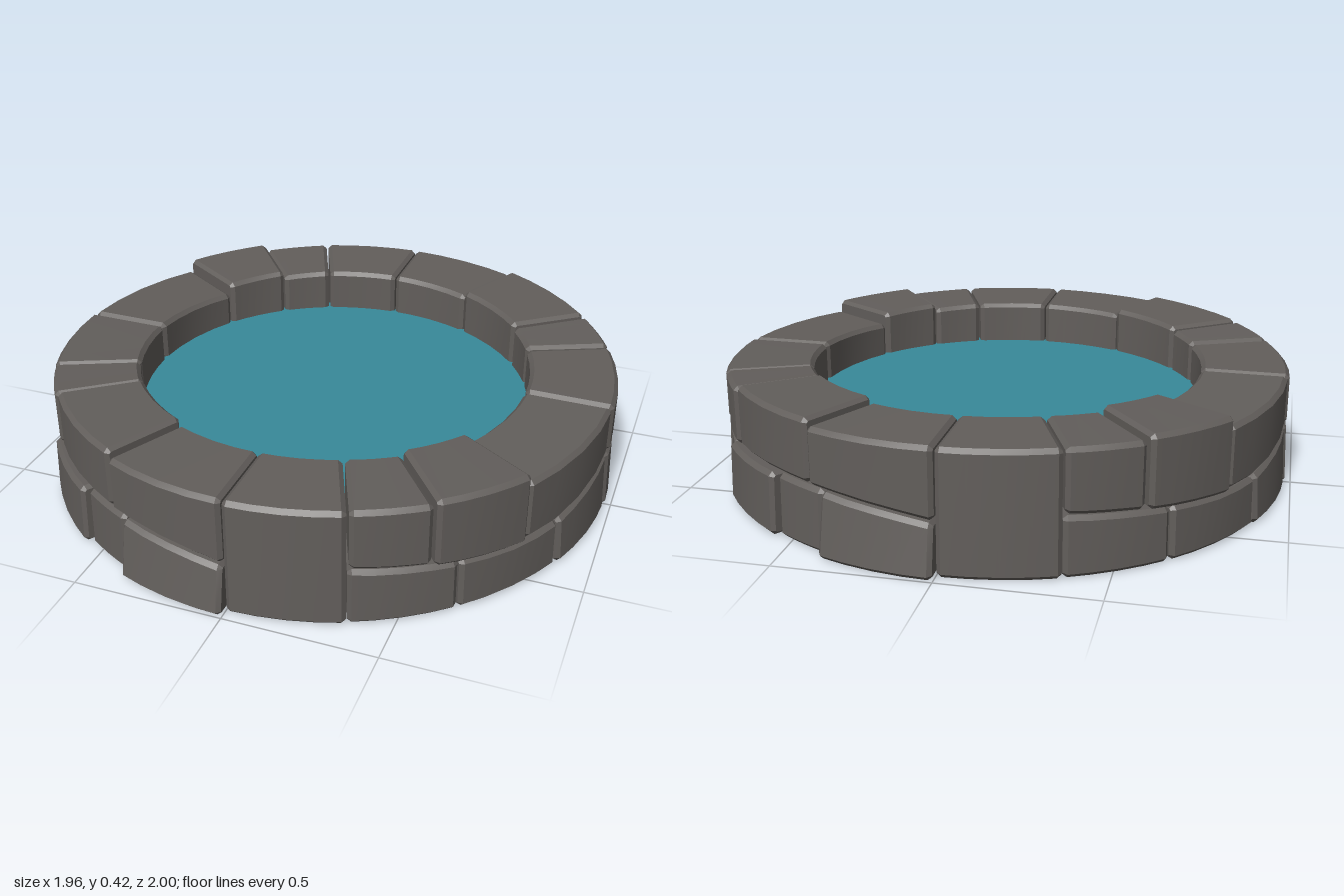
import * as THREE from 'three';
import { toCreasedNormals } from 'three/addons/utils/BufferGeometryUtils.js';

const BEVEL = 0.014;
const GAP = 0.003;
const R_IN = 0.675;

// Height of the wavy joint between the courses: [angle in degrees, y]
const JOINT = [
  [1, 0.215], [12, 0.195], [24, 0.17], [34, 0.168], [47, 0.18], [68, 0.2], [90, 0.175],
  [100, 0.195], [112, 0.212], [125, 0.215], [147, 0.205], [158, 0.225], [165, 0.235], [181, 0.215],
];

function jointHeight(deg) {
  for (let i = 1; i < JOINT.length; i++) {
    const [a0, y0] = JOINT[i - 1];
    const [a1, y1] = JOINT[i];
    if (deg <= a1) return y0 + (y1 - y0) * Math.max(0, (deg - a0) / (a1 - a0));
  }
  return JOINT[JOINT.length - 1][1];
}

// Chamfered rectangle in (radius, height)
function profile(r0, r1Bottom, r1Top, y0, y1, inset, c) {
  const a = r0 + inset, b = r1Bottom - inset, t = r1Top - inset, lo = y0 + inset, hi = y1 - inset;
  return [
    [a + c, lo], [b - c, lo], [b, lo + c], [t, hi - c],
    [t - c, hi], [a + c, hi], [a, hi - c], [a, lo + c],
  ];
}

// Curved, bevelled block swept between two angles
function stoneGeometry({ from, to, rTop, rBottom, bottom, top }) {
  const segments = 4;
  const rings = [];
  const addRing = (deg, offset, inset, chamfer) => {
    const t = (deg - from) / (to - from);
    const points = profile(R_IN, rBottom, rTop, bottom(deg), top(t), inset, chamfer);
    rings.push(points.map(([r, y]) => {
      const a = THREE.MathUtils.degToRad(deg) + offset / r;
      return [r * Math.cos(a), y, r * Math.sin(a)];
    }));
  };
  addRing(from, GAP, BEVEL * 0.8, BEVEL * 0.4);
  addRing(from, GAP + BEVEL, 0, BEVEL);
  for (let i = 1; i < segments; i++) addRing(from + (to - from) * i / segments, 0, 0, BEVEL);
  addRing(to, -GAP - BEVEL, 0, BEVEL);
  addRing(to, -GAP, BEVEL * 0.8, BEVEL * 0.4);

  const n = 8;
  const index = [];
  for (let s = 0; s < rings.length - 1; s++) {
    for (let i = 0; i < n; i++) {
      const j = (i + 1) % n;
      const a = s * n + i, b = s * n + j, c = a + n, d = b + n;
      index.push(a, b, c, b, d, c);
    }
  }
  const last = (rings.length - 1) * n;
  for (let i = 1; i < n - 1; i++) {
    index.push(0, i + 1, i);
    index.push(last, last + i, last + i + 1);
  }
  const geometry = new THREE.BufferGeometry();
  geometry.setAttribute('position', new THREE.Float32BufferAttribute(rings.flat(2), 3));
  geometry.setIndex(index);
  return toCreasedNormals(geometry, 0.5);
}

// Upper course: from, to, outer radius, top height at each end
const UPPER = [
  [1, 33, 0.965, 0.39, 0.375],
  [33, 52.5, 0.978, 0.415, 0.42],
  [52.5, 67.7, 0.965, 0.4, 0.405],
  [90, 116, 0.965, 0.405, 0.4],
  [116, 142.5, 0.96, 0.42, 0.415],
  [142.5, 156, 0.968, 0.405, 0.4],
  [156, 181, 0.972, 0.395, 0.39],
];

// Lower course: from, to, outer radius at top and at bottom
const LOWER = [
  [1, 23.5, 0.965, 0.975],
  [23.5, 47.3, 0.965, 0.968],
  [47.3, 68, 0.965, 0.968],
  [90, 112.5, 0.975, 1],
  [112.5, 125, 0.962, 0.966],
  [125, 147, 0.982, 0.988],
  [147, 158.5, 0.965, 0.968],
  [158.5, 181, 0.972, 0.98],
];

export function createModel() {
  const model = new THREE.Group();
  model.name = 'stonePool';
  const stone = new THREE.MeshStandardMaterial({ color: 0x625e5b });
  stone.name = 'grey stone';
  const waterBlue = new THREE.MeshStandardMaterial({ color: 0x38899a, side: THREE.DoubleSide });
  waterBlue.name = 'water blue';

  // Half of the wall, repeated by a half turn
  const blocks = [];
  const addBlock = (name, spec) => blocks.push([name, stoneGeometry(spec)]);
  for (const [from, to, r, t0, t1] of UPPER) {
    addBlock('upperStone', {
      from, to, rTop: r, rBottom: r, bottom: jointHeight, top: t => t0 + (t1 - t0) * t,
    });
  }
  for (const [from, to, rTop, rBottom] of LOWER) {
    addBlock('lowerStone', {
      from, to, rTop, rBottom, bottom: () => 0,
      top: t => jointHeight(from + (to - from) * t) - 0.004,
    });
  }
  addBlock('fullHeightStone', {
    from: 67.8, to: 90, rTop: 0.968, rBottom: 0.972, bottom: () => 0, top: () => 0.405,
  });

  for (const turn of [0, Math.PI]) {
    const half = new THREE.Group();
    half.name = turn ? 'backWall' : 'frontWall';
    half.rotation.y = turn;
    for (const [name, geometry] of blocks) {
      const mesh = new THREE.Mesh(geometry, stone);
      mesh.name = name;
      half.add(mesh);
    }
    model.add(half);
  }

  // Water surface
  const water = new THREE.Mesh(new THREE.CircleGeometry(0.72, 48), waterBlue);
  water.name = 'water';
  water.rotation.x = -Math.PI / 2;
  water.position.y = 0.255;
  model.add(water);

  return model;
}
